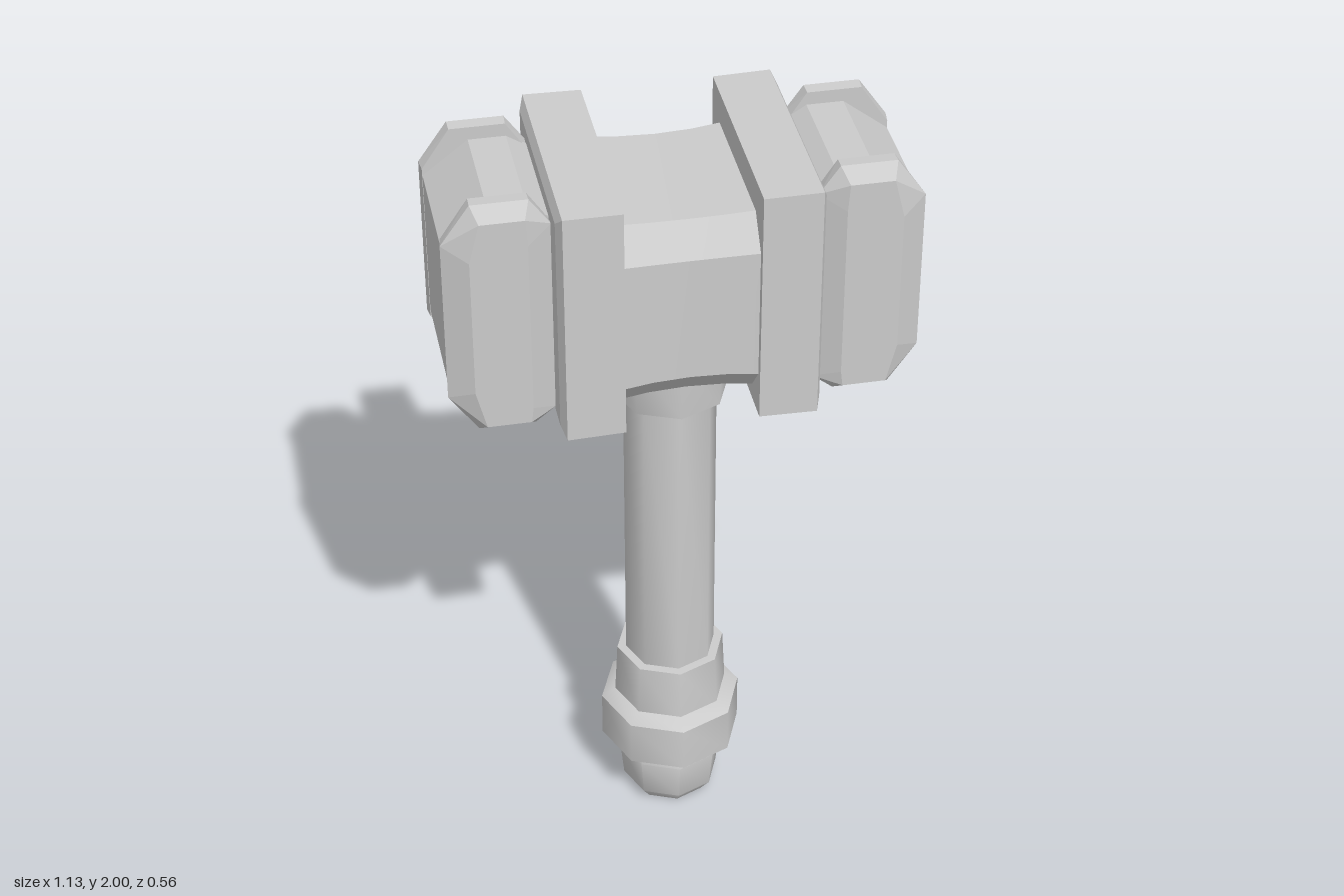
import * as THREE from 'three';
import { toCreasedNormals } from 'three/addons/utils/BufferGeometryUtils.js';
import { ConvexGeometry } from 'three/addons/geometries/ConvexGeometry.js';

const MID = 1.69; // height of the head's centre line

export function createModel() {
  const model = new THREE.Group();
  const material = new THREE.MeshStandardMaterial({ color: 0xcccccc });

  const add = (name, geometry, parent = model) => {
    const mesh = new THREE.Mesh(geometry, material);
    mesh.name = name;
    parent.add(mesh);
    return mesh;
  };
  const shapeOf = (points) => new THREE.Shape(points.map(([x, y]) => new THREE.Vector2(x, y)));

  // Eight-sided turned part from [radius, height] points, bottom to top
  const turned = (name, profile) => {
    const points = profile.map(([r, y]) => new THREE.Vector2(r, y));
    add(name, toCreasedNormals(new THREE.LatheGeometry(points, 8), 0.82));
  };

  // Convex solid from layers of [x, y] outlines at given depths
  const hull = (layers) => new ConvexGeometry(
    layers.flatMap(({ z, outline }) => outline.map(([x, y]) => new THREE.Vector3(x, y, z))));

  // Handle
  turned('pommel', [[0, 0], [0.1, 0], [0.126, 0.035], [0.136, 0.14], [0.13, 0.16], [0, 0.16]]);
  turned('pommelRing', [[0, 0.15], [0.13, 0.15], [0.183, 0.19], [0.183, 0.315], [0.145, 0.34], [0, 0.34]]);
  turned('gripCuff', [[0, 0.32], [0.148, 0.32], [0.14, 0.48], [0, 0.485]]);
  turned('shaft', [[0.117, 0.45], [0.117, 1.35]]);
  turned('neckCollar', [[0, 1.3], [0.145, 1.305], [0.152, 1.46], [0, 1.46]]);

  // Waisted core of the head
  const core = new THREE.ExtrudeGeometry(shapeOf([
    [-0.19, 1.435], [0.19, 1.435], [0.25, 1.505], [0.25, 1.83],
    [0.19, 1.905], [-0.19, 1.905], [-0.25, 1.83], [-0.25, 1.505],
  ]), { depth: 0.36, steps: 4, bevelEnabled: false });
  core.translate(0, 0, -0.18);
  const p = core.attributes.position;
  for (let i = 0; i < p.count; i++) {
    const flare = 1 + 0.045 * (p.getZ(i) / 0.18) ** 2;
    p.setXY(i, p.getX(i) * flare, MID + (p.getY(i) - MID) * flare);
  }
  core.rotateY(Math.PI / 2);
  add('headCore', toCreasedNormals(core, 0.4));

  // Outline of a cheek plate, drawn in by an inset
  const plateOutline = (d) => [
    [0.31 + d, 1.93 - d / 2], [0.36 + d / 4, 2 - d / 2], [0.495 - d / 4, 2 - d / 2], [0.565 - d, 1.9 - d / 2],
    [0.565 - d, 1.48 + d / 2], [0.495 - d / 4, 1.38 + d / 2], [0.36 + d / 4, 1.38 + d / 2], [0.31 + d, 1.42 + d / 2],
  ];

  for (const side of [1, -1]) {
    const end = new THREE.Group();
    end.name = side > 0 ? 'leftHeadEnd' : 'rightHeadEnd';
    if (side < 0) end.rotation.y = Math.PI;
    model.add(end);

    // Heavy band with its outer edges eased
    const rect = (x, h, z) => [[-1, -1], [1, -1], [1, 1], [-1, 1]]
      .map(([a, b]) => new THREE.Vector3(x, MID + a * h, b * z));
    add('headBand', new ConvexGeometry([
      ...rect(0.16, 0.303, 0.278), ...rect(0.3, 0.305, 0.28), ...rect(0.312, 0.28, 0.25),
    ]), end);

    // Striking block between the cheek plates
    const block = new THREE.ExtrudeGeometry(shapeOf([
      [0.29, 1.43], [0.36, 1.41], [0.45, 1.41], [0.56, 1.5],
      [0.56, 1.88], [0.45, 1.965], [0.36, 1.965], [0.29, 1.92],
    ]), { depth: 0.32, bevelEnabled: false });
    block.translate(0, 0, -0.16);
    add('strikingBlock', toCreasedNormals(block, 0.3), end);

    // Bevelled cheek plates, front and back
    for (const face of [1, -1]) {
      add('cheekPlate', hull([
        { z: face * 0.152, outline: plateOutline(0.004) },
        { z: face * 0.185, outline: plateOutline(0) },
        { z: face * 0.225, outline: plateOutline(0.06) },
      ]), end);
    }
  }
  return model;
}
